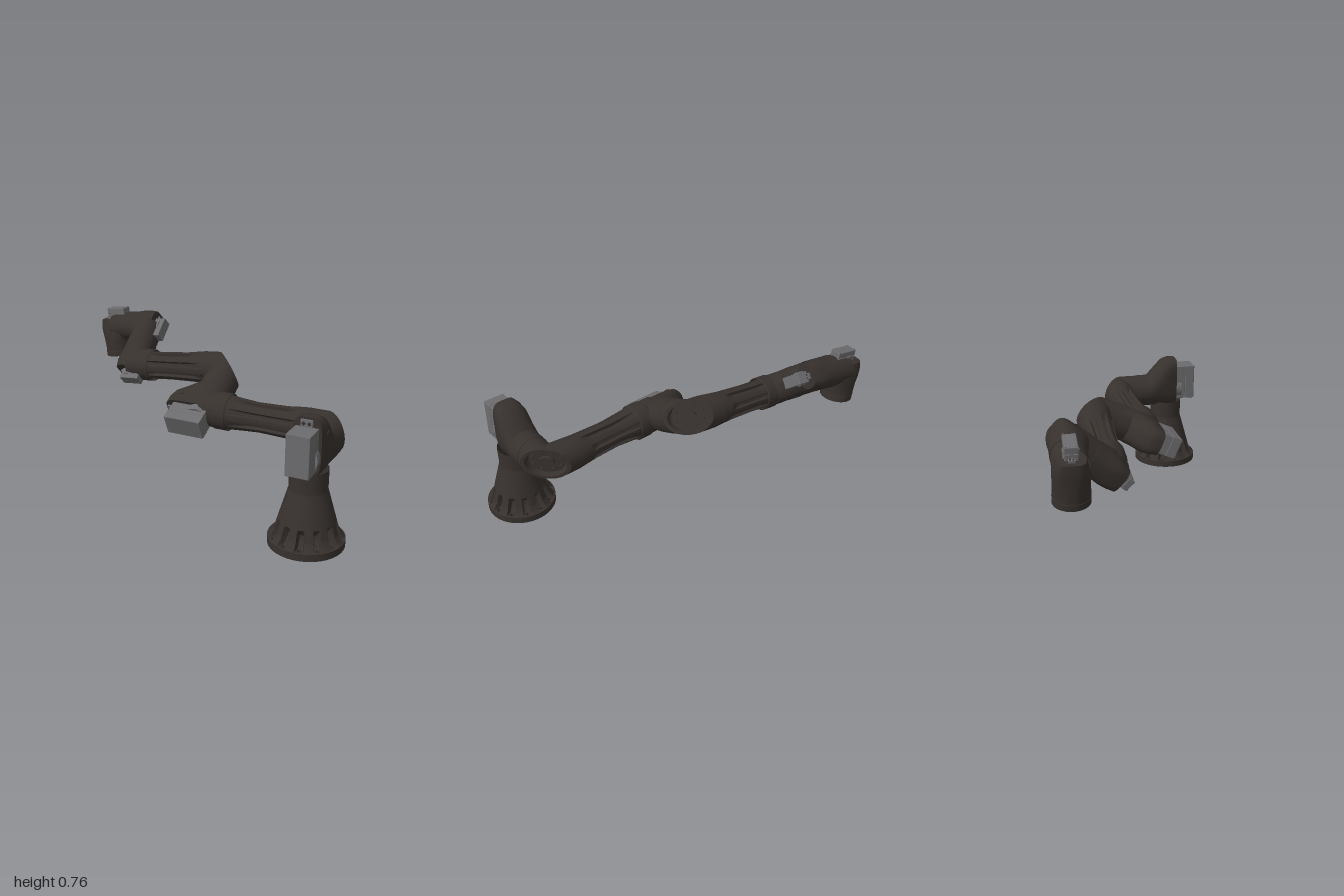
import * as THREE from 'three';
import { toCreasedNormals } from 'three/addons/utils/BufferGeometryUtils.js';
import { RoundedBoxGeometry } from 'three/addons/geometries/RoundedBoxGeometry.js';

const dark = new THREE.MeshStandardMaterial({ color: 0x37312e, side: THREE.DoubleSide });
const grey = new THREE.MeshStandardMaterial({ color: 0x6c6c6e });
const V = (x, y, z) => new THREE.Vector3(x, y, z);

function add(parent, geo, mat, name, x = 0, y = 0, z = 0) {
  const m = new THREE.Mesh(geo, mat);
  m.name = name;
  m.position.set(x, y, z);
  parent.add(m);
  return m;
}

// Group whose local y and z axes follow the given directions
function frame(parent, pos, yDir, zDir, name) {
  const g = new THREE.Group();
  g.name = name;
  const x = yDir.clone().cross(zDir).normalize();
  g.quaternion.setFromRotationMatrix(new THREE.Matrix4().makeBasis(x, zDir.clone().cross(x), zDir));
  g.position.copy(pos);
  parent.add(g);
  return g;
}

// Piecewise linear lookup in [[t, value], ...]
function lerp(pts, t) {
  for (let i = 1; i < pts.length; i++) {
    const [a, va] = pts[i - 1], [b, vb] = pts[i];
    if (t <= b) return va + (vb - va) * Math.max(0, (t - a) / (b - a));
  }
  return pts[pts.length - 1][1];
}

// Skin over closed rings of equal point count
function loft(rings, caps = false) {
  const n = rings[0].length, pos = [], idx = [];
  rings.forEach(r => r.forEach(p => pos.push(p.x, p.y, p.z)));
  for (let i = 0; i < rings.length - 1; i++) for (let j = 0; j < n; j++) {
    const a = i * n + j, b = i * n + (j + 1) % n;
    idx.push(a, b, a + n, b, b + n, a + n);
  }
  if (caps) [0, rings.length - 1].forEach(k => {
    const c = rings[k].reduce((s, p) => s.add(p), V(0, 0, 0)).divideScalar(n);
    const ci = pos.length / 3;
    pos.push(c.x, c.y, c.z);
    for (let j = 0; j < n; j++) {
      const a = k * n + j, b = k * n + (j + 1) % n;
      if (k === 0) idx.push(ci, b, a); else idx.push(ci, a, b);
    }
  });
  const g = new THREE.BufferGeometry();
  g.setAttribute('position', new THREE.Float32BufferAttribute(pos, 3));
  g.setIndex(idx);
  return toCreasedNormals(g, 0.6);
}

// Tube with radius profile, grooves, and ends that may be cut at 45 degrees toward a neighbour's direction
function pipe(parent, name, start, dir, len, profile, { cutStart, cutEnd, flute, steps = 2, around = 64 } = {}) {
  const ref = Math.abs(dir.y) > 0.9 ? V(1, 0, 0) : V(0, 1, 0);
  const x = ref.clone().cross(dir).normalize(), y = dir.clone().cross(x);
  const rings = [];
  for (let i = 0; i <= steps; i++) {
    const t = len * i / steps, ring = [];
    for (let j = 0; j < around; j++) {
      const q = j / around * Math.PI * 2;
      let r = lerp(profile, t);
      if (flute) {
        const w = THREE.MathUtils.smoothstep(-Math.cos(flute.count * q), flute.edge, flute.edge + 0.5);
        const s = (t - flute.from) / (flute.to - flute.from);
        if (s > 0 && s < 1) r -= flute.depth * w * Math.min(1, 6 * s, 3.5 * (1 - s));
      }
      const o = x.clone().multiplyScalar(r * Math.cos(q)).addScaledVector(y, r * Math.sin(q));
      const a = cutStart ? o.dot(cutStart) : 0, b = len + (cutEnd ? o.dot(cutEnd) : 0);
      ring.push(o.addScaledVector(dir, a + (b - a) * i / steps).add(start));
    }
    rings.push(ring);
  }
  add(parent, loft(rings), dark, name);
}

// Motor housing: y points to the raised side, z is the output axis, with the motor box at the back
function housing(parent, name, pos, up, axis, { r, hi, front, box, back }) {
  const g = frame(parent, pos, up, axis, name);
  // [z, low, high, half width, squareness]
  const sections = [
    [-0.05, -r * 0.93, hi, r * 0.78, 4], [-0.01, -r, hi, r * 0.9, 3.6], [0.025, -r, hi * 0.95, r, 2.8],
    [0.07, -r * 1.02, (hi + r) / 2, r, 2.2], [0.115, -r * 1.02, r * 1.03, r * 1.02, 2], [front, -r * 1.02, r * 1.02, r * 1.02, 2]];
  const pw = (c, p) => Math.sign(c) * Math.abs(c) ** (2 / p);
  add(g, loft(sections.map(([z, lo, h, w, p]) => Array.from({ length: 56 }, (_, j) => {
    const q = j / 56 * Math.PI * 2;
    return V(w * pw(Math.cos(q), p), (lo + h) / 2 + (h - lo) / 2 * pw(Math.sin(q), p), z);
  })), true), dark, 'housingShell');
  const [w, h, off] = box, depth = back - 0.04, split = depth * 0.45;
  add(g, new RoundedBoxGeometry(w, h, split, 2, 0.004), grey, 'motorCover', 0, off, -back + split / 2);
  add(g, new RoundedBoxGeometry(w * 0.98, h * 0.99, depth - split, 2, 0.003), grey, 'motorCase', 0, off, -0.04 - (depth - split) / 2);
  add(g, new THREE.CylinderGeometry(w * 0.6, w * 0.6, 0.04, 40).rotateX(Math.PI / 2), grey, 'motorGearbox', 0, off * 0.2, -0.065);
  // mounting ears and cover screws
  const ear = h * 0.17;
  for (const s of [-1, 1]) {
    add(g, new THREE.BoxGeometry(w * 0.5, ear, 0.012), grey, 'motorEar', 0, off + s * (h + ear) / 2, -0.055);
    for (const k of [-1, 1]) {
      const screw = new THREE.CylinderGeometry(w * 0.07, w * 0.07, 0.004, 14).rotateX(Math.PI / 2);
      add(g, screw, grey, 'coverScrew', k * w * 0.38, off + s * h * 0.44, -back - 0.001);
      add(g, screw, dark, 'earScrew', k * w * 0.12, off + s * (h + ear) / 2, -0.062);
    }
    add(g, new THREE.CylinderGeometry(r * 0.14, r * 0.14, 0.01, 18).rotateZ(Math.PI / 2), dark, 'sideBolt', s * r * 0.87, hi * 0.6, 0);
  }
}

// Slanted oval end of an elbow with a recessed window, hub and bolts
function elbowCap(parent, c, d1, d2, r) {
  const g = frame(parent, c, d1.clone().cross(d2), d1.clone().sub(d2).normalize(), 'elbowCap');
  const oval = new THREE.Group();
  oval.name = 'ovalWindow';
  oval.scale.x = Math.SQRT2;
  g.add(oval);
  const pts = [[0, -0.016], [0.3, -0.016], [0.3, -0.034], [0.8, -0.034], [0.84, 0], [1, 0]];
  const geo = new THREE.LatheGeometry(pts.map(([a, b]) => new THREE.Vector2(a * r, b)), 56).rotateX(Math.PI / 2);
  add(oval, toCreasedNormals(geo, 0.5), dark, 'windowRim');
  for (let i = 0; i < 8; i++) {
    const q = (i + 0.5) * Math.PI / 4;
    add(oval, new THREE.CylinderGeometry(r * 0.07, r * 0.07, 0.014, 12).rotateX(Math.PI / 2), dark, 'windowBolt',
      r * 0.6 * Math.cos(q), r * 0.6 * Math.sin(q), -0.028);
  }
}

export function createModel() {
  const root = new THREE.Group();
  root.name = 'robotArm';
  const Y = V(0, 1, 0);
  const ortho = (v, to) => v.addScaledVector(to, -v.dot(to)).normalize();
  const along = (p, d, l) => p.clone().addScaledVector(d, l);

  // Joint positions and link directions, from base to tip
  const J1 = V(0.053, 0.442, 0.82), d1 = V(0.814, 0, -0.581).normalize();
  const C1 = along(J1, d1, 0.305), d2 = V(-0.581, 0, -0.814).normalize();
  const J2 = along(C1, d2, 0.677), d3 = ortho(V(0.743, 0.406, -0.531), d2);
  const C2 = along(J2, d3, 0.303), d4 = ortho(V(-0.537, -0.11, -0.836), d3);
  const J3 = along(C2, d4, 0.62), d5 = ortho(V(0.6, 0.645, -0.47), d4);
  const J4 = along(J3, d5, 0.265), d6 = ortho(V(-0.52, -0.15, -0.85), d5);
  const J5 = along(J4, d6, 0.237), d7 = ortho(V(0.07, -0.985, 0.13), d6);

  // Base flange with bolt holes, hollow underneath
  const disc = new THREE.Shape().absarc(0, 0, 0.18, 0, Math.PI * 2);
  disc.holes.push(new THREE.Path().absarc(0, 0, 0.128, 0, Math.PI * 2, true));
  for (let i = 0; i < 12; i++) {
    const q = (i + 0.5) * Math.PI / 6;
    disc.holes.push(new THREE.Path().absarc(0.157 * Math.cos(q), 0.157 * Math.sin(q), 0.01, 0, Math.PI * 2, true));
  }
  add(root, new THREE.ExtrudeGeometry(disc, { depth: 0.036, bevelEnabled: false, curveSegments: 40 }).rotateX(-Math.PI / 2),
    dark, 'baseFlange', J1.x, 0, J1.z);
  add(root, new THREE.CylinderGeometry(0.13, 0.13, 0.008, 48), dark, 'baseFloor', J1.x, 0.03, J1.z);
  add(root, new THREE.BoxGeometry(0.11, 0.02, 0.05), grey, 'baseMotor', J1.x, 0.018, J1.z);
  pipe(root, 'baseColumn', V(J1.x, 0.035, J1.z), Y, 0.345, [[0, 0.178], [0.008, 0.168], [0.035, 0.15], [0.245, 0.09], [0.4, 0.09]],
    { steps: 60, around: 144, flute: { count: 12, from: -0.03, to: 0.092, depth: 0.034, edge: 0.1 } });
  add(root, new THREE.BoxGeometry(0.02, 0.07, 0.02), dark, 'columnSlot', J1.x + 0.106, 0.19, J1.z).rotation.z = 0.28;

  // Two large motor housings, each leading into a 45 degree elbow and a fluted arm
  const large = { r: 0.09, hi: 0.195, front: 0.19, box: [0.112, 0.2, 0.05], back: 0.162 };
  const arms = [
    ['shoulder', 'upperArm', J1, Y, d1, C1, d2, 0.677, 0.09],
    ['elbow', 'foreArm', J2, d2, d3, C2, d4, 0.62, 0.083]];
  for (const [body, arm, J, up, a, C, b, len, endR] of arms) {
    housing(root, body + 'Housing', J, up, a, large);
    pipe(root, body + 'Sleeve', along(J, a, 0.15), a, C.distanceTo(J) - 0.15, [[0, 0.09], [1, 0.09]], { cutEnd: b });
    elbowCap(root, C, a, b, 0.09);
    pipe(root, arm, C, b, len, [[0, 0.09], [0.1, 0.09], [0.22, 0.08], [0.38, 0.075], [0.5, endR - 0.006], [0.56, endR], [0.7, endR]],
      { cutStart: a, steps: 56, around: 128, flute: { count: 8, from: 0.17, to: 0.55, depth: 0.017, edge: 0.0 } });
    pipe(root, arm + 'Collar', along(C, b, len - 0.15), b, 0.08, [[0, endR], [0.006, endR + 0.005], [0.074, endR + 0.005], [0.08, endR]], { steps: 40 });
  }

  // Three smaller wrist housings, each plugged straight into the next, raised toward the incoming link
  const small = { r: 0.082, hi: 0.105, front: 0.14, box: [0.06, 0.12, 0.026], back: 0.112 };
  const wrist = [['wristRoll', J3, d4, d5, 0.265], ['wristPitch', J4, d5, d6, 0.237], ['wristEnd', J5, d6, d7, 0.165]];
  for (const [name, J, from, a, len] of wrist) {
    housing(root, name + 'Housing', J, from.clone().negate(), a, small);
    pipe(root, name + 'Sleeve', along(J, a, 0.1), a, len - 0.1, [[0, 0.081], [1, 0.081]]);
  }

  // Open tool mount at the tip
  const tip = frame(root, along(J5, d7, 0.165), d6, d7, 'toolMount');
  const rim = [[0, -0.022], [0.06, -0.022], [0.066, 0], [0.085, 0], [0.085, -0.03], [0.081, -0.034]];
  add(tip, toCreasedNormals(new THREE.LatheGeometry(rim.map(([a, b]) => new THREE.Vector2(a, b)), 56).rotateX(Math.PI / 2), 0.5), dark, 'toolRim');
  return root;
}
